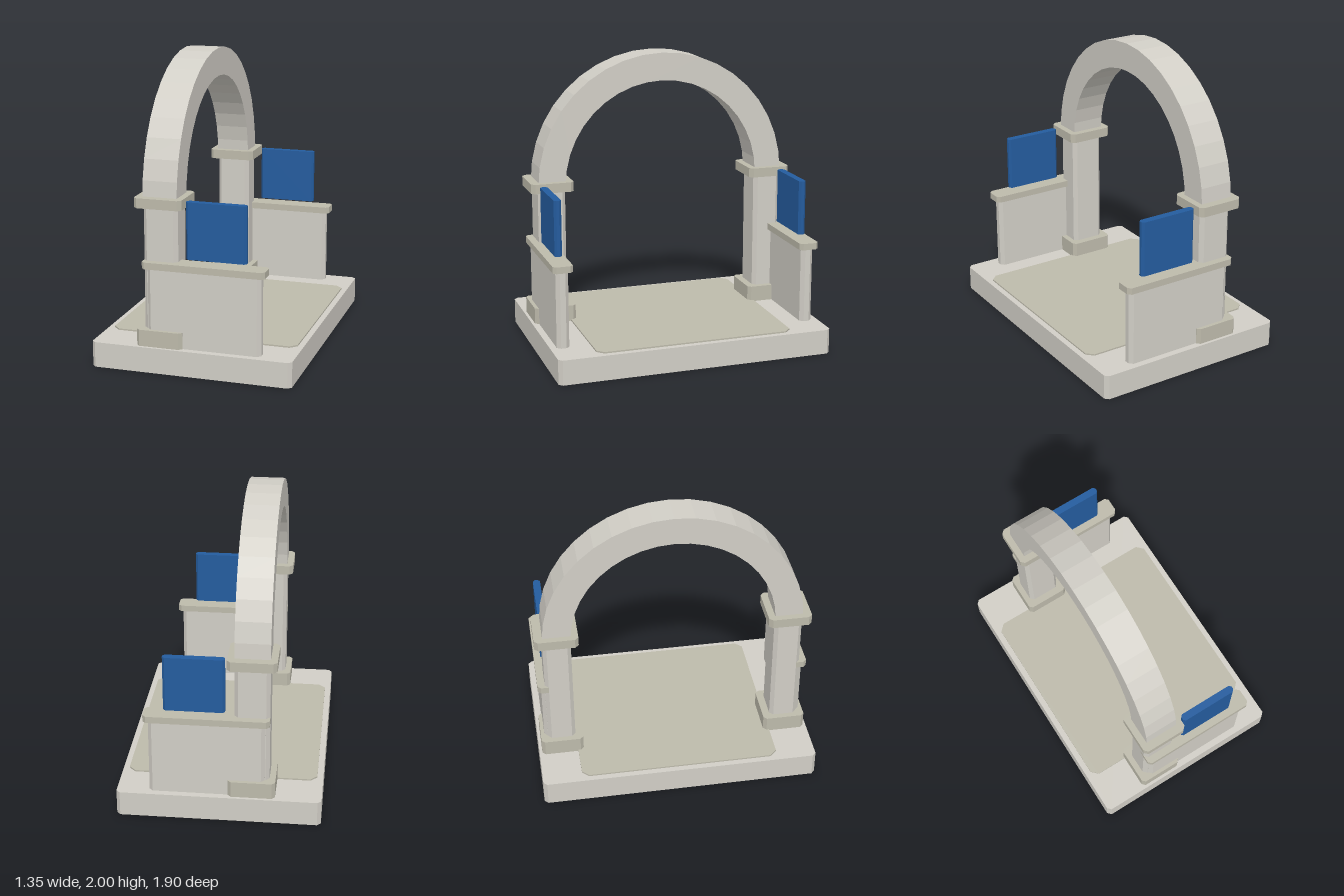
import * as THREE from 'three';

const stone = new THREE.MeshStandardMaterial({ color: 0xd1cec6, flatShading: true });
const trim = new THREE.MeshStandardMaterial({ color: 0xbdbaab, flatShading: true });
const blue = new THREE.MeshStandardMaterial({ color: 0x245c9e, flatShading: true });

// Block with chamfered vertical edges, given by its extents on each axis
function block(name, [x0, x1], [y0, y1], [z0, z1], c, material) {
  const w = (x1 - x0) / 2, d = (z1 - z0) / 2;
  const shape = new THREE.Shape([
    [w, -d + c], [w, d - c], [w - c, d], [-w + c, d],
    [-w, d - c], [-w, -d + c], [-w + c, -d], [w - c, -d],
  ].map(([x, y]) => new THREE.Vector2(x, y)));
  const geo = new THREE.ExtrudeGeometry(shape, { depth: y1 - y0, bevelEnabled: false });
  geo.rotateX(-Math.PI / 2);
  const mesh = new THREE.Mesh(geo, material);
  mesh.position.set((x0 + x1) / 2, y0, (z0 + z1) / 2);
  mesh.name = name;
  return mesh;
}

// Faceted half ring spanning the two pillars
function arch() {
  const outer = 0.88, inner = 0.69, steps = 20, pts = [];
  for (let i = 0; i <= steps; i++) {
    const a = Math.PI * i / steps;
    pts.push(new THREE.Vector2(outer * Math.cos(a), outer * Math.sin(a)));
  }
  for (let i = steps; i >= 0; i--) {
    const a = Math.PI * i / steps;
    pts.push(new THREE.Vector2(inner * Math.cos(a), inner * Math.sin(a)));
  }
  const geo = new THREE.ExtrudeGeometry(new THREE.Shape(pts), { depth: 0.23, bevelEnabled: false });
  geo.rotateY(Math.PI / 2);
  const mesh = new THREE.Mesh(geo, stone);
  mesh.position.set(-0.33, 1.12, 0);
  mesh.name = 'arch';
  return mesh;
}

export function createModel() {
  const model = new THREE.Group();
  model.name = 'archway';

  // Plinth with a thin raised floor
  model.add(block('plinth', [-0.675, 0.675], [0, 0.17], [-0.95, 0.95], 0.025, stone));
  model.add(block('floorPanel', [-0.635, 0.635], [0.17, 0.18], [-0.68, 0.68], 0.045, trim));
  model.add(arch());

  // Pillar, side wall and sign, repeated at front and back
  for (const s of [1, -1]) {
    const side = new THREE.Group();
    side.name = s > 0 ? 'frontSide' : 'backSide';
    const add = (name, x, y, z, c, material) =>
      side.add(block(name, x, y, s > 0 ? z : [-z[1], -z[0]], c, material));
    add('pillarBase', [-0.37, -0.06], [0.17, 0.28], [0.64, 0.93], 0.022, trim);
    add('pillar', [-0.33, -0.1], [0.17, 1.1], [0.69, 0.88], 0.025, stone);
    add('pillarCap', [-0.375, -0.055], [1.09, 1.155], [0.64, 0.935], 0.025, trim);
    add('sideWall', [-0.3, 0.46], [0.17, 0.69], [0.82, 0.905], 0.024, stone);
    add('wallCap', [-0.33, 0.49], [0.69, 0.735], [0.795, 0.93], 0.022, trim);
    add('signPanel', [-0.04, 0.36], [0.765, 1.14], [0.835, 0.885], 0.015, blue);
    model.add(side);
  }
  return model;
}
